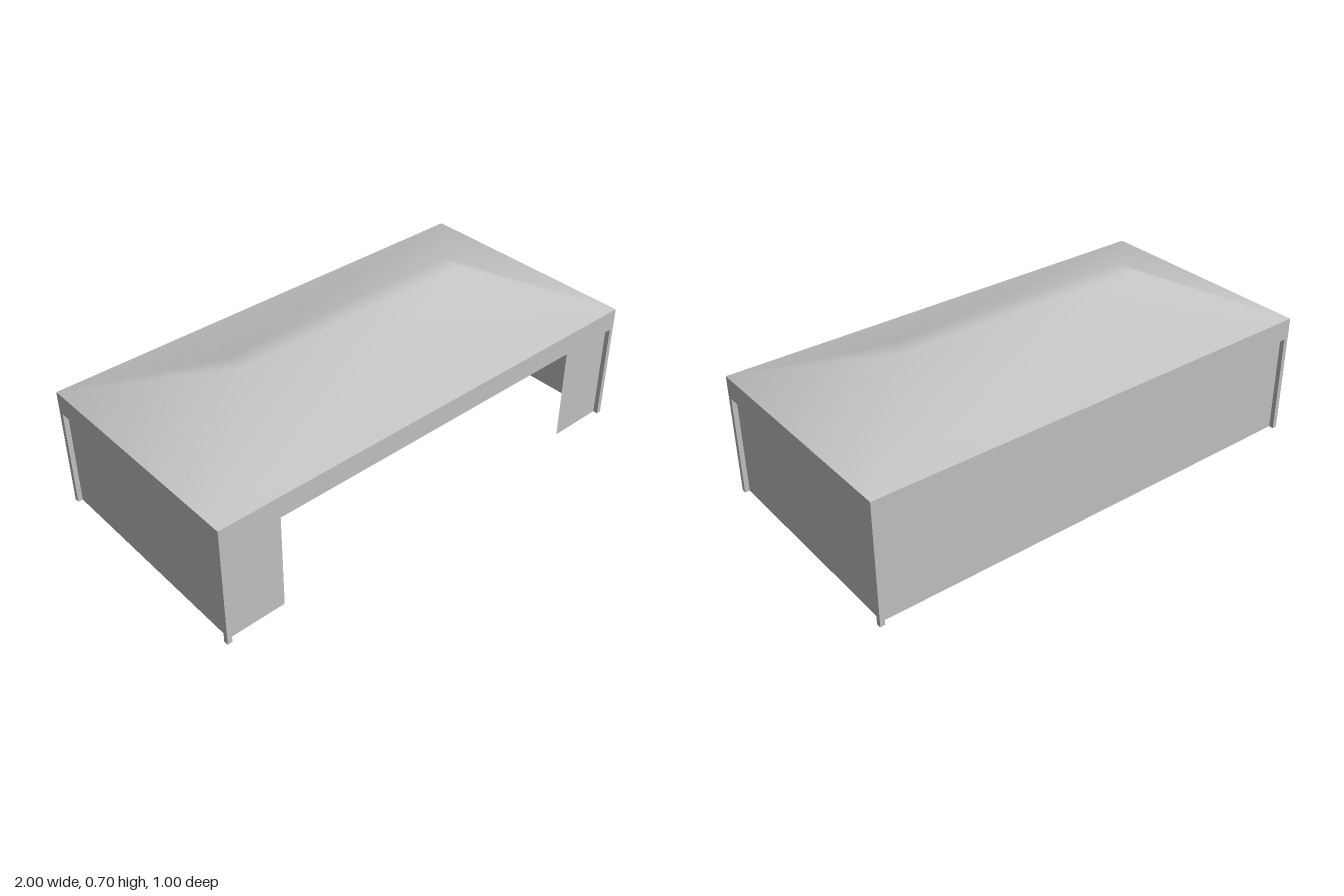
import * as THREE from 'three';

const W = 1, D = 0.5;              // half width and half depth of the roof edge
const EAVE = 0.43, TOP = 0.52, RIDGE = 0.7;
const POST = 0.02;

export function createModel() {
  const group = new THREE.Group();
  const grey = new THREE.MeshStandardMaterial({ color: 0xc4c4c4, side: THREE.DoubleSide });
  grey.name = 'light grey';

  const add = (name, geometry, x = 0, y = 0, z = 0, turn = 0) => {
    const mesh = new THREE.Mesh(geometry, grey);
    mesh.name = name;
    mesh.position.set(x, y, z);
    mesh.rotation.y = turn;
    group.add(mesh);
  };

  // Hipped roof: eave and ridge rectangles joined with shared smooth normals
  const ring = (x, y, z) => [-x, y, z, x, y, z, x, y, -z, -x, y, -z];
  const index = [4, 5, 6, 4, 6, 7];
  for (let i = 0; i < 4; i++) {
    const j = (i + 1) % 4;
    index.push(i, j, j + 4, i, j + 4, i + 4);
  }
  const roof = new THREE.BufferGeometry();
  roof.setAttribute('position', new THREE.Float32BufferAttribute(
    [...ring(W, TOP, D), ...ring(0.545, RIDGE, 0.045)], 3));
  roof.setIndex(index);
  roof.computeVertexNormals();
  add('hippedRoof', roof);

  // Fascia band with the ceiling as its underside
  add('fascia', new THREE.BoxGeometry(2 * W, TOP - EAVE, 2 * D), 0, (TOP + EAVE) / 2, 0);

  // Thin wall sheets set in by the width of a post
  const wx = W - POST, wz = D - POST, mid = EAVE / 2;
  add('backWall', new THREE.PlaneGeometry(2 * wx, EAVE), 0, mid, -wz, Math.PI);
  for (const s of [-1, 1]) {
    const side = s > 0 ? 'left' : 'right';
    add(side + 'Wall', new THREE.PlaneGeometry(2 * wz, EAVE), s * wx, mid, 0, s * Math.PI / 2);
    // Short return beside the wide front opening
    add(side + 'FrontWall', new THREE.PlaneGeometry(wx - 0.735, EAVE), s * (wx + 0.735) / 2, mid, wz);
    // Corner posts
    for (const t of [-1, 1]) {
      add(side + (t > 0 ? 'Front' : 'Back') + 'Post', new THREE.BoxGeometry(POST, EAVE, POST),
        s * (W - POST / 2), mid, t * (D - POST / 2));
    }
  }
  return group;
}
